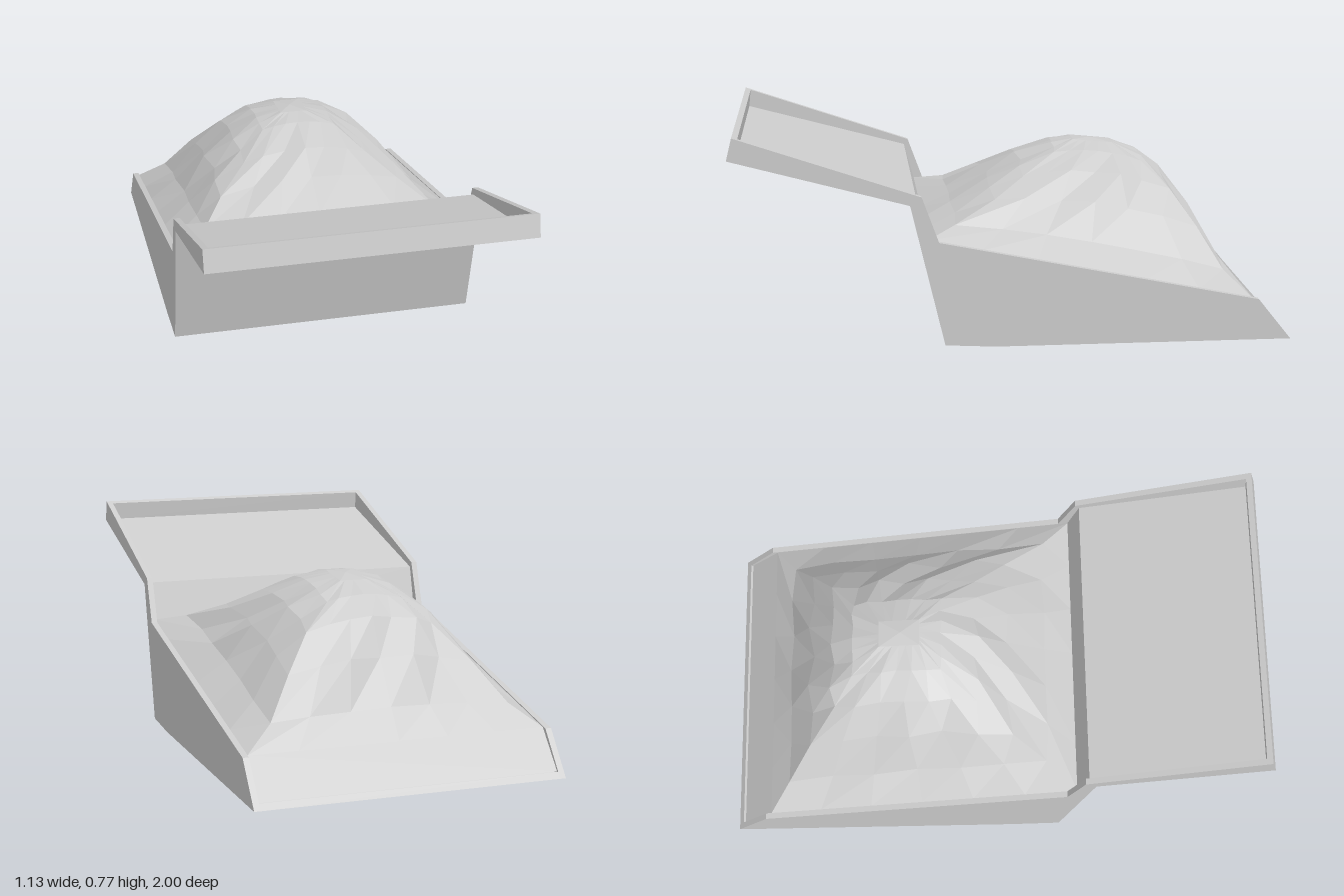
import * as THREE from 'three';

const material = new THREE.MeshStandardMaterial({ color: 0xcccccc, flatShading: true, side: THREE.DoubleSide });

// Extrudes a side profile of [z, y] points across x, centred on centreX
function panel(name, points, width, centreX) {
  const shape = new THREE.Shape(points.map(([z, y]) => new THREE.Vector2(z, y)));
  const geometry = new THREE.ExtrudeGeometry(shape, { depth: width, bevelEnabled: false });
  geometry.rotateY(-Math.PI / 2).translate(centreX + width / 2, 0, 0);
  const mesh = new THREE.Mesh(geometry, material);
  mesh.name = name;
  return mesh;
}

// Heap of earth: square rings stepping up from the rim of the bed to a rounded top
function createHeap() {
  // front z, front y, back z, back y, half width, corner drop, roughness
  const rings = [
    [0.307, 0.39, -0.86, 0.15, 0.545, 0, 0],
    [0.2, 0.44, -0.78, 0.25, 0.44, 0.02, 0.006],
    [0.06, 0.525, -0.69, 0.41, 0.34, 0.04, 0.012],
    [-0.06, 0.59, -0.6, 0.535, 0.24, 0.04, 0.01],
    [-0.19, 0.64, -0.52, 0.6, 0.14, 0.02, 0.004],
    [-0.27, 0.65, -0.42, 0.635, 0.05, 0, 0],
  ];
  const perSide = 6, count = perSide * 4;
  const vertices = [], faces = [];
  rings.forEach(([zf, yf, zb, yb, half, drop, rough], r) => {
    for (let i = 0; i < count; i++) {
      const side = Math.floor(i / perSide);
      const s = -1 + 2 * (i % perSide) / perSide;
      const [u, v] = [[s, 1], [1, -s], [-s, -1], [-1, s]][side];
      const k = (v + 1) / 2;
      const bump = rough * Math.sin(i * 2.7 + r * 4.1);
      const corner = Math.min(u * u, v * v);
      vertices.push(
        u * half + bump * u,
        THREE.MathUtils.lerp(yb, yf, k) - drop * corner + bump * (1 - corner) * 0.6,
        THREE.MathUtils.lerp(zb, zf, k) + bump * v
      );
      if (r > 0) {
        const next = (i + 1) % count, a = (r - 1) * count, b = r * count;
        faces.push(a + i, a + next, b + next, a + i, b + next, b + i);
      }
    }
  });
  // Closing fan at the top
  const last = (rings.length - 1) * count, apex = vertices.length / 3;
  vertices.push(0, 0.65, -0.34);
  for (let i = 0; i < count; i++) faces.push(last + i, last + (i + 1) % count, apex);
  // Earth sloping down to the tail
  const tail = vertices.length / 3;
  vertices.push(0.545, 0.15, -0.86, -0.545, 0.15, -0.86, -0.545, 0.02, -0.975, 0.545, 0.02, -0.975);
  faces.push(tail, tail + 2, tail + 1, tail, tail + 3, tail + 2);

  const geometry = new THREE.BufferGeometry();
  geometry.setAttribute('position', new THREE.Float32BufferAttribute(vertices, 3));
  geometry.setIndex(faces);
  const flat = geometry.toNonIndexed();
  flat.computeVertexNormals();
  const mesh = new THREE.Mesh(flat, material);
  mesh.name = 'earthHeap';
  return mesh;
}

export function createModel() {
  const model = new THREE.Group();
  model.name = 'dumpBed';
  const halfWidth = 0.567, wall = 0.022;

  // Side walls, running from the tail up the headboard and along the cab guard
  const sideProfile = [
    [-1, 0], [0.07, 0], [0.25, 0.01], [0.37, 0.52], [1, 0.69],
    [0.98, 0.77], [0.33, 0.55], [0.27, 0.385], [-0.88, 0.15],
  ];
  for (const [name, sign] of [['leftWall', 1], ['rightWall', -1]]) {
    model.add(panel(name, sideProfile, wall, sign * (halfWidth - wall / 2)));
  }

  // Floor, headboard and cab guard as one folded section, with a raised front lip
  const bodyProfile = [
    [-1, 0], [0.07, 0], [0.25, 0.01], [0.37, 0.52], [1, 0.69],
    [0.98, 0.77], [0.96, 0.763], [0.967, 0.697], [0.345, 0.53],
    [0.29, 0.33], [-0.86, 0.09], [-0.965, 0.008], [-0.983, 0.021],
  ];
  model.add(panel('bedBody', bodyProfile, 2 * (halfWidth - wall), 0));

  model.add(createHeap());
  return model;
}
